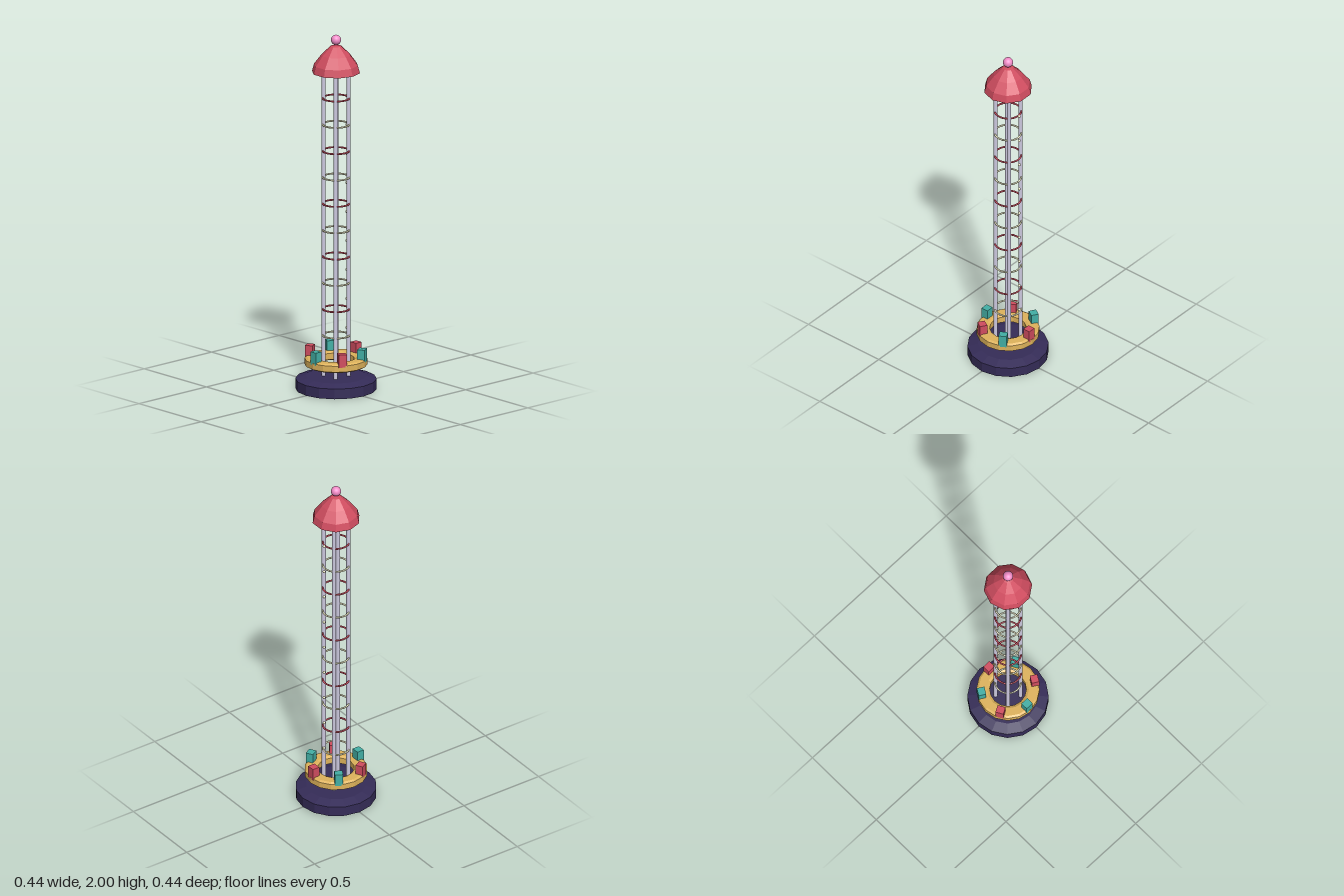
import * as THREE from 'three';

const NAVY = 0x352c58, RED = 0xd14d60, GOLD = 0xe0b45c, TEAL = 0x43b0a6;
const STEEL = 0xcfcbe2, PINK = 0xf28cc8, CREAM = 0xf0ecc8;

export function createModel() {
  const root = new THREE.Group();
  root.name = 'dropTower';

  const materials = new Map();
  const material = (color, flatShading) => {
    const key = color + (flatShading ? 'flat' : 'smooth');
    if (!materials.has(key)) materials.set(key, new THREE.MeshStandardMaterial({ color, flatShading }));
    return materials.get(key);
  };
  const add = (name, geometry, color, x = 0, y = 0, z = 0, flat = false) => {
    const mesh = new THREE.Mesh(geometry, material(color, flat));
    mesh.name = name;
    mesh.position.set(x, y, z);
    root.add(mesh);
    return mesh;
  };
  // Faceted turned part from [radius, height] points, listed bottom to top
  const turned = (points, sides) =>
    new THREE.LatheGeometry(points.map(([r, y]) => new THREE.Vector2(r, y)), sides);

  // Plinth with a shallow sloped shoulder
  add('base', turned([[0, 0], [0.222, 0], [0.222, 0.057], [0.165, 0.073], [0, 0.073]], 16), NAVY, 0, 0, 0, true);

  // Four corner poles
  const pole = new THREE.CylinderGeometry(0.012, 0.012, 1.74, 10);
  for (const x of [-0.048, 0.048])
    for (const z of [-0.048, 0.048]) add('pole', pole, STEEL, x, 0.93, z);

  // Hoops around the poles, alternating colours
  const hoop = new THREE.TorusGeometry(0.073, 0.005, 6, 24).rotateX(Math.PI / 2);
  for (let i = 0; i < 10; i++) add('hoop', hoop, i % 2 ? RED : CREAM, 0, 0.302 + i * 0.149, 0);

  // Row of bulbs up one side
  const bulb = new THREE.SphereGeometry(0.008, 10, 8);
  for (let i = 0; i < 9; i++) add('bulb', bulb, CREAM, 0.08, 0.33 + i * 0.164, 0);

  // Ring-shaped carriage with an open centre
  add('carriage', turned([
    [0.1, 0.137], [0.115, 0.13], [0.157, 0.13], [0.172, 0.138],
    [0.172, 0.172], [0.16, 0.18], [0.115, 0.18], [0.1, 0.172], [0.1, 0.137],
  ], 16), GOLD, 0, 0, 0, true);

  // Six seats around the carriage
  const seat = new THREE.BoxGeometry(0.042, 0.072, 0.045);
  for (let i = 0; i < 6; i++) {
    const a = i * Math.PI / 3;
    add('seat', seat, i % 2 ? TEAL : RED, 0.149 * Math.cos(a), 0.199, -0.149 * Math.sin(a)).rotation.y = a;
  }

  // Canopy and finial
  add('canopy', turned([[0, 1.79], [0.133, 1.79], [0.122, 1.832], [0.08, 1.888], [0.03, 1.937], [0, 1.945]], 10),
    RED, 0, 0, 0, true);
  add('finial', new THREE.SphereGeometry(0.028, 20, 14), PINK, 0, 1.972, 0);

  return root;
}
